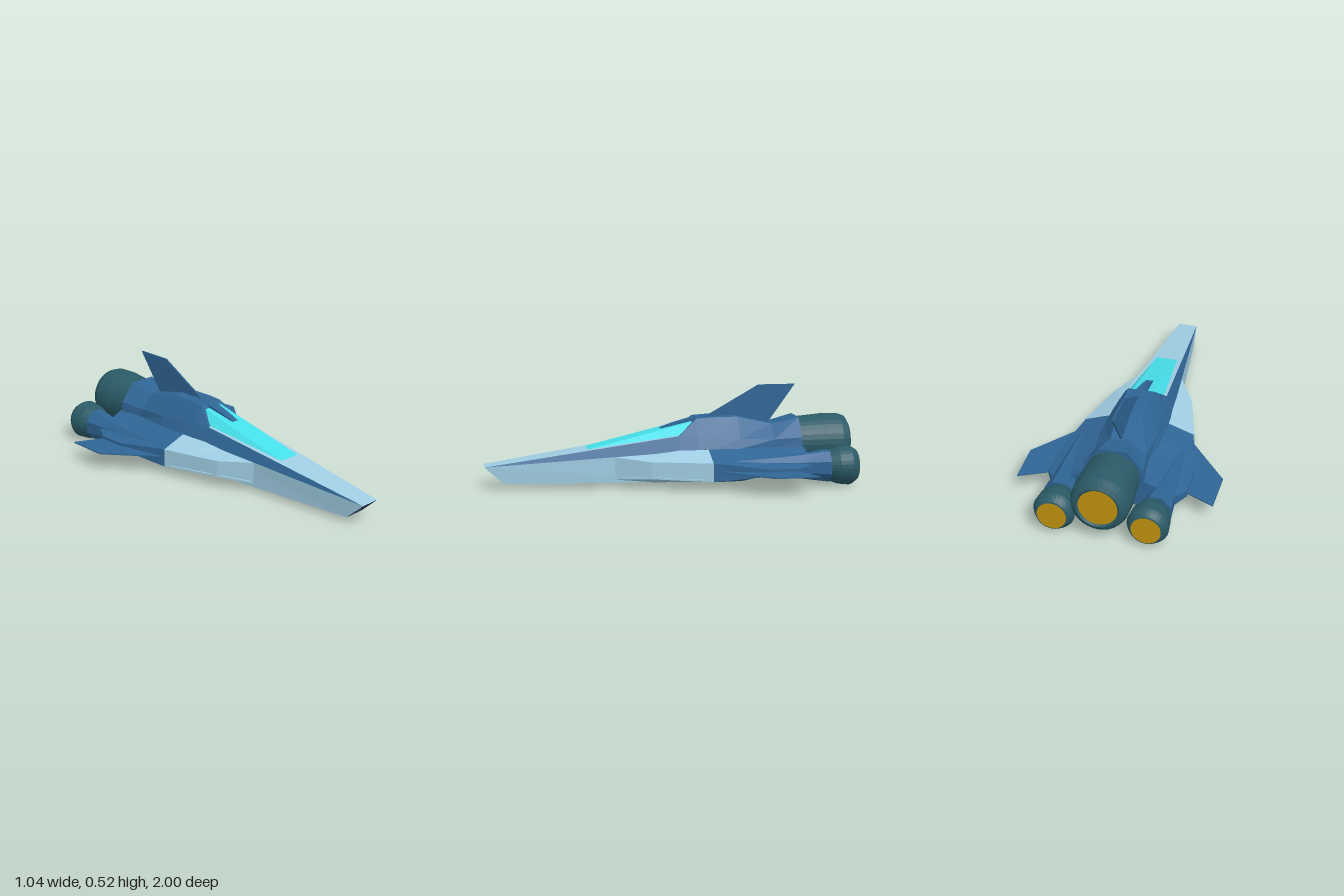
import * as THREE from 'three';

const material = (color) => new THREE.MeshStandardMaterial({ color, flatShading: true, side: THREE.DoubleSide });

export function createModel() {
  const model = new THREE.Group();
  const pale = material(0x9fcde3), blue = material(0x2f6595), cyan = material(0x45e0ea);
  const teal = material(0x2a5a66), dark = material(0x1d3347);
  const amber = material(0xbe9110), yellow = material(0x989000);

  function add(name, geometry, mat) {
    const mesh = new THREE.Mesh(geometry, mat);
    mesh.name = name;
    model.add(mesh);
    return mesh;
  }

  // Surface between successive rows of points
  function panel(name, rows, mat) {
    const pos = [];
    for (let i = 0; i < rows.length - 1; i++) {
      for (let j = 0; j < rows[i].length - 1; j++) {
        const a = rows[i][j], b = rows[i][j + 1], c = rows[i + 1][j + 1], d = rows[i + 1][j];
        pos.push(...a, ...b, ...c, ...a, ...c, ...d);
      }
    }
    const g = new THREE.BufferGeometry();
    g.setAttribute('position', new THREE.Float32BufferAttribute(pos, 3));
    g.computeVertexNormals();
    return add(name, g, mat);
  }

  // Same surface on the left and the right
  function pair(name, rows, mat) {
    panel(name + 'Left', rows, mat);
    panel(name + 'Right', rows.map((r) => r.map(([x, y, z]) => [-x, y, z]).reverse()), mat);
  }

  // Cross-section at one z
  const section = (z, ...points) => points.map(([x, y]) => [x, y, z]);
  const toCentre = (row) => row.map(([, y, z]) => [0, y, z]);

  // Four-cornered face with a sunken middle
  function sunkenRows(corners, scale, push) {
    const mid = [0, 1, 2].map((k) => corners.reduce((s, c) => s + c[k] / 4, 0));
    const inner = corners.map((c) => c.map((v, k) => mid[k] + (v - mid[k]) * scale));
    const floor = inner.map((c) => c.map((v, k) => v + push[k]));
    const close = (l) => [...l, l[0]];
    return { rim: [corners, inner, floor].map(close), floor: [[floor[0], floor[1]], [floor[3], floor[2]]] };
  }

  // Nose and forward hull
  const noseTop = [0.055, 0.12, 1], noseLow = [0.06, 0.028, 0.9];
  pair('noseSide', [[noseTop, noseLow, [0, 0.028, 0.9]],
    section(-0.19, [0.165, 0.2], [0.165, 0.025], [0, 0.025])], pale);
  pair('noseDeck', [[noseTop, [0, 0.12, 1]], section(-0.04, [0.115, 0.27], [0, 0.27])], pale);
  const flip = ([x, y, z]) => [-x, y, z];
  const lamp = sunkenRows([flip(noseTop), noseTop, noseLow, flip(noseLow)], 0.72, [0, 0.004, -0.01]);
  panel('noseLampFrame', lamp.rim, dark);
  panel('noseLamp', lamp.floor, yellow);

  // Upper hull shoulders and the spine behind the canopy
  pair('shoulder', [[noseTop, noseTop], section(-0.04, [0.152, 0.19], [0.115, 0.27])], blue);
  const spine = [
    section(-0.04, [0.152, 0.19], [0.115, 0.27], [0.1, 0.27]),
    section(-0.14, [0.162, 0.2], [0.125, 0.27], [0.07, 0.355]),
    section(-0.22, [0.164, 0.2], [0.135, 0.26], [0.07, 0.36]),
    section(-0.37, [0.165, 0.2], [0.145, 0.25], [0.065, 0.36]),
    section(-0.56, [0.14, 0.19], [0.135, 0.24], [0.055, 0.315]),
    section(-0.71, [0.165, 0.19], [0.155, 0.25], [0.075, 0.35]),
  ];
  pair('spineSide', spine, blue);
  pair('spineTop', spine.slice(1).map((r) => [r[2], [0, r[2][1], r[2][2]]]), blue);
  pair('spineRear', [spine[5], toCentre(spine[5])], blue);

  // Canopy with its rear brace
  const c0 = [0.06, 0.202, 0.45], c1 = [0.058, 0.337, -0.12], c2 = [0.1, 0.272, -0.045];
  pair('canopyTop', [[c0, [0, 0.202, 0.45]], [c1, [0, 0.337, -0.12]]], cyan);
  pair('canopySide', [[c0, c0], [c1, c2]], cyan);
  pair('canopyFrame', [[c1, c2], [[0.07, 0.355, -0.14], [0.115, 0.27, -0.04]]], blue);
  pair('canopyFrameTop', [[c1, [0, 0.337, -0.12]], [[0.07, 0.355, -0.14], [0, 0.355, -0.14]]], blue);
  pair('canopyBrace', [
    section(-0.14, [0.03, 0.335], [0.03, 0.355], [0, 0.35]),
    section(-0.02, [0.022, 0.305], [0.022, 0.325], [0, 0.32]),
    section(0.05, [0.018, 0.292], [0.018, 0.3], [0, 0.298]),
  ], blue);

  // Side intakes with sunken panels
  const front = section(0.31, [0.122, 0.166], [0.122, 0.045]);
  const knee = section(0.13, [0.22, 0.152], [0.22, 0.06]);
  const back = section(-0.19, [0.305, 0.15], [0.305, 0.05]);
  [[front, knee], [knee, back]].forEach(([a, b], i) => {
    const s = sunkenRows([a[0], b[0], b[1], a[1]], 0.8, [-0.008, 0, -0.004]);
    pair('intakeFrame' + (i + 1), s.rim, pale);
    pair('intakePanel' + (i + 1), s.floor, pale);
  });
  pair('intakeTop', [[front[0], front[0]], [knee[0], [0.14, 0.18, 0.1]],
    [[0.262, 0.151, -0.03], [0.15, 0.197, -0.03]], [back[0], [0.165, 0.2, -0.19]]], pale);
  pair('intakeUnderside', [[front[1], front[1]], [knee[1], [0.14, 0.026, 0.1]],
    [back[1], [0.165, 0.025, -0.19]]], pale);

  // Wide rear hull
  const rear = [
    section(-0.19, [0.16, 0.2], [0.3, 0.15], [0.305, 0.05], [0.165, 0.025], [0, 0.025]),
    section(-0.37, [0.163, 0.2], [0.342, 0.132], [0.342, 0.07], [0.19, 0.028], [0, 0.028]),
    section(-0.48, [0.15, 0.2], [0.367, 0.12], [0.367, 0.082], [0.2, 0.05], [0, 0.05]),
    section(-0.64, [0.15, 0.2], [0.367, 0.12], [0.367, 0.085], [0.2, 0.05], [0, 0.05]),
    section(-0.72, [0.16, 0.2], [0.32, 0.13], [0.32, 0.08], [0.19, 0.045], [0, 0.045]),
  ];
  pair('rearHull', rear, blue);
  pair('rearHullFront', [rear[0], toCentre(rear[0])], blue);
  pair('rearHullBack', [rear[4], toCentre(rear[4])], blue);

  // Tapered engine fairings
  const ring = (z, x, y, rx, ry) => Array.from({ length: 9 }, (_, i) => {
    const a = (i + 0.5) * Math.PI / 4;
    return [x + rx * Math.cos(a), y + ry * Math.sin(a), z];
  });
  pair('engineFairing', [ring(-0.32, 0.28, 0.145, 0.012, 0.012), ring(-0.64, 0.265, 0.115, 0.055, 0.065),
    ring(-0.83, 0.25, 0.11, 0.085, 0.09), ring(-0.83, 0.25, 0.11, 0, 0)], blue);

  // Thin wings and tail fin
  function plate(name, points, thickness) {
    const g = new THREE.ExtrudeGeometry(new THREE.Shape(points.map((p) => new THREE.Vector2(...p))),
      { depth: thickness, bevelEnabled: false });
    g.translate(0, 0, -thickness / 2);
    return add(name, g, blue);
  }
  for (const [side, s] of [['Left', 1], ['Right', -1]]) {
    const wing = plate('wing' + side, [[0.2, -0.2], [0.3, -0.2], [0.52, -0.48], [0.515, -0.71],
      [0.37, -0.64], [0.2, -0.68]].map(([x, z]) => [s * x, z]), 0.006);
    wing.rotation.x = Math.PI / 2;
    wing.position.y = 0.103;
  }
  const fin = plate('tailFin', [[0.2, 0.355], [0.5, 0.525], [0.705, 0.525], [0.55, 0.31], [0.4, 0.32]], 0.008);
  fin.rotation.y = Math.PI / 2;

  // Engines with glowing outlets
  function engine(name, x, y, z, profile, glowRadius, glowDepth) {
    const shell = new THREE.LatheGeometry(profile.map((p) => new THREE.Vector2(...p)), 32);
    shell.rotateX(-Math.PI / 2);
    add(name, shell, teal).position.set(x, y, z);
    const glow = new THREE.CircleGeometry(glowRadius, 32);
    glow.rotateY(Math.PI);
    add(name + 'Glow', glow, amber).position.set(x, y, z - glowDepth);
  }
  engine('mainEngine', 0, 0.205, -0.705, [[0, 0], [0.137, 0], [0.148, 0.13], [0.152, 0.16],
    [0.15, 0.245], [0.137, 0.28], [0.112, 0.295], [0.1, 0.285]], 0.101, 0.286);
  for (const [side, s] of [['Left', 1], ['Right', -1]]) {
    engine('sideEngine' + side, s * 0.24, 0.108, -0.83, [[0, 0], [0.08, 0], [0.1, 0.05], [0.107, 0.115],
      [0.1, 0.13], [0.083, 0.155], [0.074, 0.158]], 0.076, 0.159);
  }
  return model;
}
